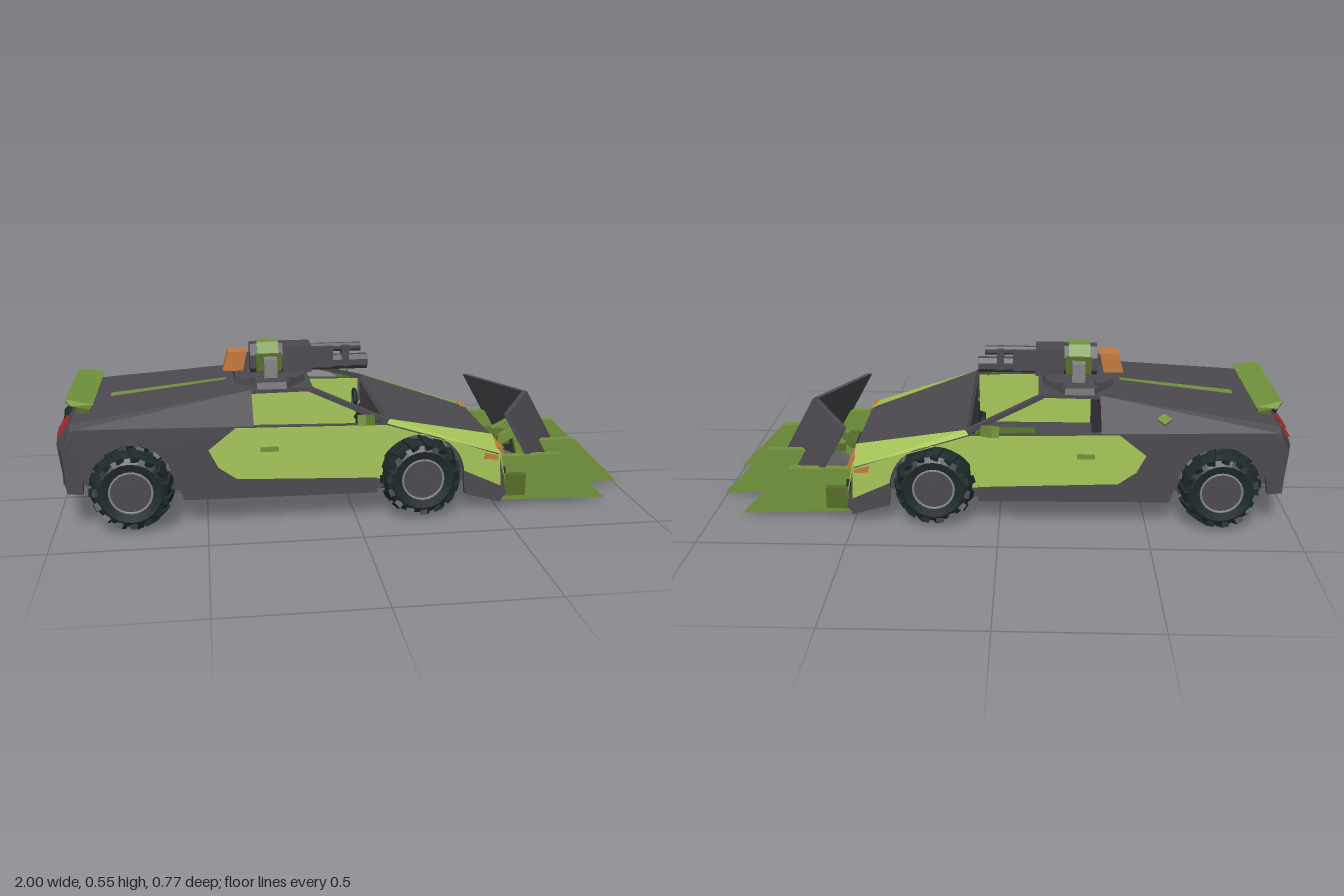
import * as THREE from 'three';
import { ConvexGeometry } from 'three/addons/geometries/ConvexGeometry.js';

const mat = (name, color, extra = {}) => {
  const m = new THREE.MeshStandardMaterial({ color, flatShading: true, ...extra });
  m.name = name;
  return m;
};

export function createModel() {
  const dark = mat('charcoal', 0x4c4a4f);
  const lime = mat('lime', 0xa7c759, { side: THREE.DoubleSide });
  const green = mat('green', 0x72933c);
  const olive = mat('olive', 0x556d2a);
  const rubber = mat('rubber', 0x1d2a2b);
  const orange = mat('orange', 0xc67a3c);
  const red = mat('red', 0xa32a26);
  const grey = mat('grey', 0x858585);

  const model = new THREE.Group();
  const car = new THREE.Group();
  car.name = 'car';
  car.position.z = -0.005;
  model.add(car);
  const add = (name, geo, material, x = 0, y = 0, z = 0, parent = car) => {
    const m = new THREE.Mesh(geo, material);
    m.name = name;
    m.position.set(x, y, z);
    parent.add(m);
    return m;
  };
  const box = (name, w, h, d, material, x, y, z) =>
    add(name, new THREE.BoxGeometry(w, h, d), material, x, y, z);
  const hull = (name, pts, material) =>
    add(name, new ConvexGeometry(pts.map(p => new THREE.Vector3(...p))), material);
  const mirrored = pts => pts.flatMap(([x, y, z]) => [[x, y, z], [x, y, -z]]);
  const poly = pts => new THREE.Shape(pts.map(p => new THREE.Vector2(...p)));
  // plate drawn in side elevation, running from z0 to z1
  const plate = (name, shape, z0, z1, material) => add(name, new THREE.ExtrudeGeometry(shape,
    { depth: z1 - z0, bevelEnabled: false, curveSegments: 12 }), material, 0, 0, z0);
  const sidePlate = (name, shape, z0, z1, s, material) =>
    s > 0 ? plate(name, shape, z0, z1, material) : plate(name, shape, -z1, -z0, material);
  const beam = (name, a, b, w, material) => {
    const p = new THREE.Vector3(...a), q = new THREE.Vector3(...b);
    const m = box(name, w, w, p.distanceTo(q), material, 0, 0, 0);
    m.position.copy(p).add(q).multiplyScalar(0.5);
    m.lookAt(q);
    return m;
  };

  // Hull with the open cockpit, and the keel beneath it
  plate('innerHull', poly([[-0.92, 0.13], [-0.62, 0.095], [0.38, 0.09], [0.49, 0.04], [0.52, 0.06],
    [0.49, 0.2], [0.1, 0.325], [0.1, 0.125], [-0.34, 0.125], [-0.34, 0.335], [-0.92, 0.345]]),
  -0.25, 0.25, dark);
  box('cabinFloor', 0.68, 0.03, 0.63, dark, -0.24, 0.11, 0);
  plate('keel', poly([[-0.65, 0.1], [-0.63, 0.035], [0.5, 0.025], [0.5, 0.1]]), -0.08, 0.08, green);
  box('cabinTunnel', 0.22, 0.08, 0.13, olive, -0.01, 0.16, 0);

  // Rounded tail
  hull('tail', mirrored([[-0.95, 0.13, 0.325], [-0.958, 0.27, 0.335], [-0.93, 0.343, 0.332], [-0.93, 0.358, 0.3],
    [-0.985, 0.27, 0.24], [-0.968, 0.13, 0.24], [-1, 0.27, 0.1], [-0.985, 0.13, 0.1],
    [-0.91, 0.13, 0.31], [-0.91, 0.343, 0.332]]), dark);

  // Side panels with wheel arches
  const side = new THREE.Shape();
  side.moveTo(-0.95, 0.13);
  side.lineTo(-0.9, 0.125);
  side.absarc(-0.744, 0.135, 0.155, Math.PI, 0, true);
  side.lineTo(-0.575, 0.09);
  side.lineTo(0.07, 0.085);
  side.absarc(0.22, 0.135, 0.15, Math.PI, 0, true);
  [[0.375, 0.065], [0.5, 0.03], [0.52, 0.06], [0.49, 0.2], [0.1, 0.325], [-0.34, 0.335],
    [-0.92, 0.345], [-0.955, 0.27]].forEach(p => side.lineTo(...p));
  const door = new THREE.Shape();
  door.moveTo(-0.49, 0.26);
  door.lineTo(-0.46, 0.2);
  door.lineTo(-0.4, 0.157);
  door.lineTo(0.069, 0.14);
  door.absarc(0.22, 0.135, 0.151, Math.PI, 0.1, true);
  [[0.5, 0.09], [0.493, 0.2], [0.1, 0.323], [-0.4, 0.332]].forEach(p => door.lineTo(...p));
  const doorLining = poly([[-0.338, 0.127], [0.098, 0.127], [0.098, 0.322], [-0.338, 0.332]]);
  const lampSide = poly([[0.44, 0.19], [0.488, 0.186], [0.488, 0.198], [0.44, 0.213]]);
  for (const s of [1, -1]) {
    sidePlate('sidePanel', side, 0.312, 0.332, s, dark);
    sidePlate('doorPanel', door, 0.332, 0.336, s, lime);
    sidePlate('doorLining', doorLining, 0.309, 0.312, s, lime);
    sidePlate('headlampSide', lampSide, 0.336, 0.339, s, orange);
    box('doorHandle', 0.06, 0.016, 0.008, green, -0.29, 0.257, s * 0.338);
    // Inner wall ahead of the rear wheel
    box('rearBayWall', 0.24, 0.2, 0.07, dark, -0.46, 0.233, s * 0.28);
  }

  // Rear deck, roof and bonnet
  hull('rearDeck', mirrored([[-0.93, 0.343, 0.332], [-0.34, 0.333, 0.332], [-0.34, 0.424, 0.2],
    [-0.93, 0.358, 0.3]]), dark);
  hull('roof', mirrored([[-0.36, 0.41, 0.2], [-0.36, 0.426, 0.2], [-0.13, 0.41, 0.19],
    [-0.13, 0.424, 0.19]]), dark);
  hull('bonnet', mirrored([[0.1, 0.322, 0.332], [0.11, 0.335, 0.31], [0.49, 0.2, 0.332],
    [0.505, 0.222, 0.18], [0.505, 0.18, 0.18]]), dark);
  for (const s of [1, -1]) {
    hull('bonnetFlank', [[0.11, 0.335, 0.312], [0.1, 0.325, 0.334], [0.49, 0.203, 0.334], [0.505, 0.225, 0.18],
      [0.49, 0.2, 0.32]].map(([x, y, z]) => [x + 0.002, y + 0.003, s * z]), lime);
    hull('noseCorner', [[0.495, 0.205, 0.334], [0.507, 0.222, 0.18], [0.515, 0.1, 0.18], [0.515, 0.1, 0.334],
      [0.49, 0.2, 0.334]].map(([x, y, z]) => [x + 0.003, y, s * z]), lime);
    beam('windscreenPillar', [-0.14, 0.417, s * 0.19], [0.11, 0.33, s * 0.315], 0.016, dark);
    box('headlampFront', 0.016, 0.034, 0.095, orange, 0.508, 0.203, s * 0.248).rotation.z = 0.4;
    box('noseVent', 0.014, 0.022, 0.05, rubber, 0.515, 0.135, s * 0.287);
    // Mirrors
    beam('mirrorArm', [0.07, 0.325, s * 0.31], [0.04, 0.342, s * 0.34], 0.012, olive);
    const mirror = box('mirror', 0.03, 0.036, 0.07, green, 0.03, 0.346, s * 0.346);
    mirror.rotation.set(-s * 0.3, s * -0.6, 0);
  }
  box('seatRest', 0.006, 0.018, 0.1, green, -0.338, 0.396, 0.075);
  box('rearWindow', 0.006, 0.034, 0.1, rubber, -0.338, 0.392, -0.078);
  const steering = add('steeringWheel', new THREE.TorusGeometry(0.035, 0.007, 6, 12), rubber, 0.06, 0.29, -0.13);
  steering.rotation.y = Math.PI / 2;

  // Rear wing, deck fin and filler cap
  hull('rearWing', mirrored([[-0.95, 0.418, 0.215], [-0.95, 0.404, 0.215], [-0.86, 0.402, 0.235],
    [-0.87, 0.386, 0.235], [-0.93, 0.4, 0.24]]), green);
  for (const s of [1, -1]) {
    hull('wingPost', [0.17, 0.19].flatMap(z => [[-0.92, 0.35, s * z], [-0.87, 0.35, s * z],
      [-0.88, 0.392, s * z], [-0.92, 0.4, s * z]]), olive);
  }
  hull('deckFin', mirrored([[-0.82, 0.36, 0.015], [-0.82, 0.376, 0.013], [-0.42, 0.41, 0.005],
    [-0.42, 0.42, 0.005]]), green);
  const cap = box('fillerCap', 0.035, 0.012, 0.035, green, -0.55, 0.37, -0.285);
  cap.rotation.set(-0.45, Math.PI / 4, 0);

  // Tail lamps, centre vent and exhaust fins
  const tail = (name, w, h, material, x, z) => {
    const m = box(name, 0.014, h, w, material, x, 0.314, z);
    m.rotation.z = -0.6;
    return m;
  };
  for (const s of [1, -1]) {
    tail('innerTailLamp', 0.045, 0.045, red, -0.969, s * 0.135);
    tail('outerTailLamp', 0.045, 0.045, red, -0.963, s * 0.215);
  }
  tail('centreVent', 0.04, 0.04, rubber, -0.97, 0).rotation.x = 0.78;
  box('tailSlot', 0.012, 0.045, 0.22, rubber, -0.991, 0.21, 0);
  box('tailBox', 0.012, 0.025, 0.06, olive, -0.994, 0.215, 0.06);
  for (let i = 0; i < 6; i++)
    box('exhaustFin', 0.03, 0.09, 0.012, dark, -0.97, 0.145, -0.15 + i * 0.06);

  // Wheels with staggered, shoulder-wrapping tread blocks
  const tyre = new THREE.LatheGeometry([[0.07, -0.056], [0.1, -0.062], [0.118, -0.052], [0.129, -0.025],
    [0.129, 0.025], [0.118, 0.052], [0.1, 0.062], [0.07, 0.056]]
    .map(p => new THREE.Vector2(...p)), 24).rotateX(Math.PI / 2);
  const lug = new THREE.BoxGeometry(0.026, 0.018, 0.058);
  for (const x of [-0.744, 0.22]) for (const s of [1, -1]) {
    const wheel = new THREE.Group();
    wheel.name = 'wheel';
    wheel.position.set(x, 0.138, s * 0.309 + 0.008);
    car.add(wheel);
    add('tyre', tyre, rubber, 0, 0, 0, wheel);
    for (let i = 0; i < 30; i++) {
      const a = i * Math.PI / 15, e = i % 2 ? 1 : -1;
      const m = add('treadBlock', lug, rubber, Math.cos(a) * 0.122, Math.sin(a) * 0.122, e * 0.034, wheel);
      m.rotation.set(e * 0.28, e * 0.3, a - Math.PI / 2, 'ZYX');
    }
    add('rim', new THREE.CylinderGeometry(0.072, 0.072, 0.11, 20).rotateX(Math.PI / 2), dark, 0, 0, 0, wheel);
    add('rimRing', new THREE.TorusGeometry(0.069, 0.004, 6, 24), grey, 0, 0, s * 0.056, wheel);
    add('hub', new THREE.CylinderGeometry(0.03, 0.035, 0.12, 8).rotateX(Math.PI / 2), dark, 0, 0, 0, wheel);
  }

  // Plough: V-shaped blade, four cutting prongs and mounting arms
  for (const s of [1, -1]) {
    hull('ploughBlade', [[0.535, 0.33, 0.285], [0.688, 0.33, 0], [0.71, 0.012, 0.285], [0.865, 0.012, 0]]
      .flatMap(([x, y, z]) => [[x, y, s * z], [x - 0.02, y, s * z]]), dark);
    sidePlate('outerProng', poly([[0.48, 0.025], [0.89, 0.012], [0.72, 0.182], [0.48, 0.182]]), 0.269, 0.298, s, green);
    sidePlate('innerProng', poly([[0.7, 0.02], [1, 0.012], [0.83, 0.182], [0.66, 0.182]]), 0.108, 0.137, s, green);
    box('prongBox', 0.08, 0.075, 0.03, olive, 0.552, 0.085, s * 0.31);
    beam('ploughArm', [0.49, 0.12, s * 0.05], [0.64, 0.2, s * 0.05], 0.03, green);
  }
  box('ploughMount', 0.08, 0.03, 0.13, olive, 0.57, 0.165, 0);

  // Turret base with bolts
  const base = add('turretBase', new THREE.CylinderGeometry(0.208, 0.216, 0.022, 8)
    .rotateY(Math.PI / 8), dark, -0.27, 0.435, 0);
  base.scale.x = 0.62;
  for (const s of [1, -1]) {
    for (const x of [-0.335, -0.205])
      add('bolt', new THREE.CylinderGeometry(0.013, 0.013, 0.012, 6), dark, x, 0.451, s * 0.158);
    box('turretPost', 0.045, 0.066, 0.042, grey, -0.268, 0.479, s * 0.112);
  }

  // Twin-barrelled gun
  const along = (name, r, x0, x1, y, material, n = 8) =>
    add(name, new THREE.CylinderGeometry(r, r, x1 - x0, n).rotateY(Math.PI / 8).rotateZ(Math.PI / 2),
      material, (x0 + x1) / 2, y, 0);
  along('gunBreech', 0.062, -0.335, -0.22, 0.487, dark);
  along('gunCradle', 0.069, -0.31, -0.235, 0.487, green);
  for (const s of [1, -1]) box('cradleCheek', 0.09, 0.06, 0.02, olive, -0.27, 0.487, s * 0.066);
  box('gunBody', 0.1, 0.095, 0.106, dark, -0.17, 0.49, 0);
  box('gunShroud', 0.08, 0.075, 0.06, dark, -0.08, 0.49, 0);
  box('barrelClamp', 0.025, 0.075, 0.054, dark, 0.005, 0.492, 0);
  along('upperBarrel', 0.016, -0.12, 0.06, 0.52, dark);
  along('lowerBarrel', 0.028, -0.12, 0.082, 0.467, dark);
  along('upperMuzzle', 0.014, 0.055, 0.061, 0.52, rubber);
  along('lowerMuzzle', 0.026, 0.07, 0.084, 0.467, rubber);
  plate('ammoBox', poly([[-0.43, 0.452], [-0.36, 0.452], [-0.345, 0.52], [-0.41, 0.52]]), -0.036, 0.036, orange);
  box('ammoFeed', 0.04, 0.03, 0.04, dark, -0.345, 0.49, 0);

  return model;
}
